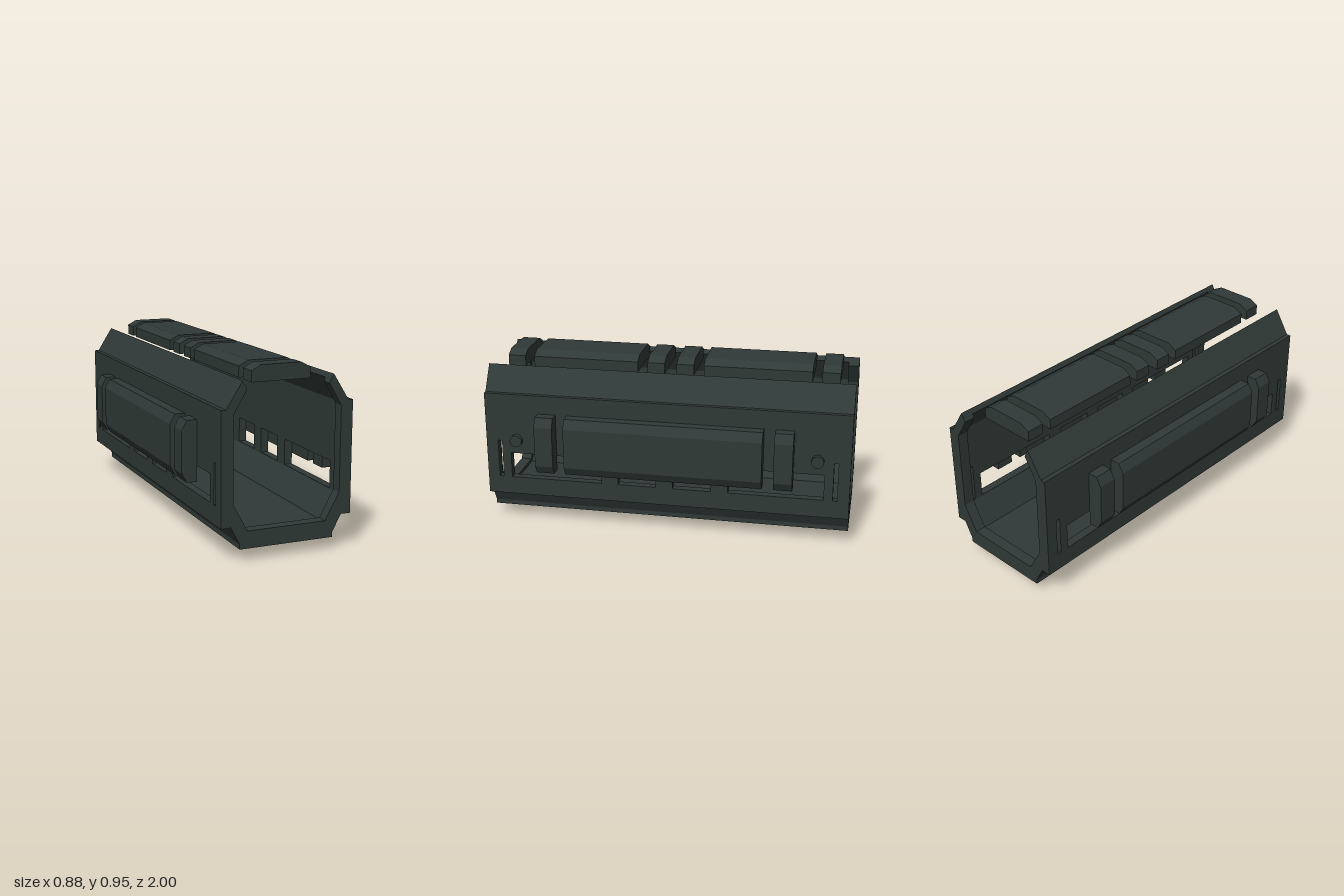
import * as THREE from 'three';

const gunmetal = new THREE.MeshStandardMaterial({ color: 0x2f3937 });
gunmetal.name = 'darkGunmetal';

const shapeOf = (points) => new THREE.Shape(points.map(([x, y]) => new THREE.Vector2(x, y)));
const mirrorX = (points) => points.map(([x, y]) => [-x, y]);
// Closes a half outline (given for +x) with its mirror image
const symmetric = (half) => [...half, ...mirrorX(half).reverse()];

export function createModel() {
  const model = new THREE.Group();
  model.name = 'railedHandguard';

  const add = (name, geometry) => {
    const mesh = new THREE.Mesh(geometry, gunmetal);
    mesh.name = name;
    model.add(mesh);
    return mesh;
  };
  // Extrudes a front (x, y) profile from z0 to z1
  const along = (name, points, z0, z1) => {
    const geometry = new THREE.ExtrudeGeometry(shapeOf(points), { depth: z1 - z0, bevelEnabled: false });
    return add(name, geometry.translate(0, 0, z0));
  };

  // Floor trough with sloping sides
  along('floorTrough', symmetric([
    [0.255, 0.065], [0.255, 0.09], [0.305, 0.185], [0.31, 0.18], [0.31, 0.275], [0.23, 0.135],
  ]), -1, 1);

  // Side walls with windows between posts, and a narrow slot at each end
  const wall = shapeOf([[-1, 0.18], [1, 0.18], [1, 0.765], [-1, 0.765]]);
  const windows = [
    [-0.935, -0.912, 0.493], [-0.863, -0.35, 0.424], [-0.257, -0.046, 0.424],
    [0.046, 0.257, 0.424], [0.35, 0.863, 0.424], [0.912, 0.935, 0.493],
  ];
  for (const [z0, z1, top] of windows) {
    wall.holes.push(new THREE.Path([[z0, 0.28], [z0, top], [z1, top], [z1, 0.28]]
      .map(([z, y]) => new THREE.Vector2(z, y))));
  }
  const lip = [[0.31, 0.765], [0.33, 0.765], [0.245, 0.9], [0.231, 0.875], [0.31, 0.747]];
  for (const side of [1, -1]) {
    const name = side > 0 ? 'left' : 'right';
    const geometry = new THREE.ExtrudeGeometry(wall, { depth: 0.045, bevelEnabled: false });
    geometry.translate(0, 0, -0.0225).rotateY(-Math.PI / 2).translate(side * 0.3325, 0, 0);
    add(name + 'Wall', geometry);
    along(name + 'UpperLip', side > 0 ? lip : mirrorX(lip), -1, 1);
  }

  // Thicker inner collars at both ends
  const collarOuter = [[0.231, 0.875], [0.31, 0.747], [0.31, 0.275], [0.23, 0.135]];
  const collarInner = [[0.221, 0.856], [0.29, 0.74], [0.29, 0.295], [0.213, 0.155]];
  const collar = [
    ...collarOuter, ...mirrorX(collarOuter).reverse(),
    ...mirrorX(collarInner), ...collarInner.slice().reverse(),
  ];
  along('frontCollar', collar, 0.94, 1);
  along('backCollar', collar, -1, -0.94);

  // Chamfered rails on the sides and underneath: a long bar and two end ribs
  const sideRail = [[0.355, 0.342], [0.41, 0.342], [0.438, 0.39], [0.438, 0.612], [0.41, 0.662], [0.355, 0.662]];
  const bottomRail = symmetric([[0.16, 0.065], [0.16, 0.028], [0.11, 0]]);
  const spans = [[-0.7, -0.6], [-0.538, 0.538], [0.6, 0.7]];
  for (const [z0, z1] of spans) {
    along('leftRail', sideRail, z0, z1);
    along('rightRail', mirrorX(sideRail), z0, z1);
    along('bottomRail', bottomRail, z0, z1);
  }

  // Top rail in separate segments
  const topRail = symmetric([[0.16, 0.871], [0.16, 0.928], [0.108, 0.955]]);
  for (const [a, b] of [[0.033, 0.128], [0.182, 0.767], [0.818, 0.915]]) {
    along('topRailFront', topRail, a, b);
    along('topRailBack', topRail, -b, -a);
  }

  // Round studs on the left wall
  for (const z of [0.825, -0.825]) {
    const stud = new THREE.CylinderGeometry(0.034, 0.034, 0.03, 12);
    add('stud', stud.rotateZ(-Math.PI / 2).translate(0.367, 0.503, z));
  }
  return model;
}
